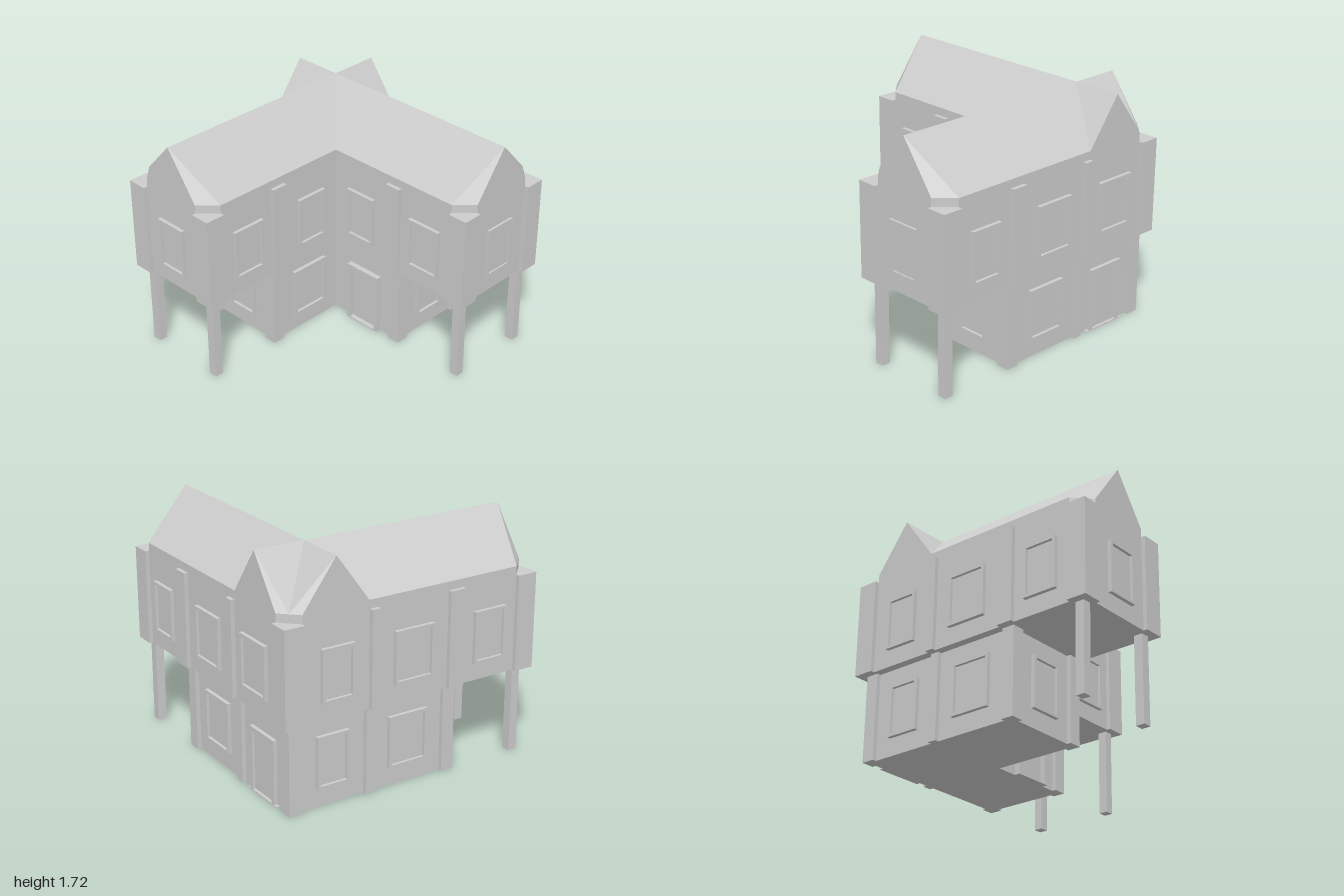
import * as THREE from 'three';

const plaster = new THREE.MeshStandardMaterial({ color: 0xcccccc });
plaster.name = 'plaster grey';

const EAVE = 1.38, RIDGE = 1.72, FLOOR = 0.63, POST_TOP = 1.32;

export function createModel() {
  const house = new THREE.Group();
  house.name = 'house';

  const add = (name, geometry, parent = house) => {
    const mesh = new THREE.Mesh(geometry, plaster);
    mesh.name = name;
    parent.add(mesh);
    return mesh;
  };
  const box = (name, x0, x1, y0, y1, z0, z1) => {
    const mesh = add(name, new THREE.BoxGeometry(x1 - x0, y1 - y0, z1 - z0));
    mesh.position.set((x0 + x1) / 2, (y0 + y1) / 2, (z0 + z1) / 2);
    return mesh;
  };
  // Upright block from a plan outline of [x, z] points
  const storey = (name, plan, y0, y1) => {
    const shape = new THREE.Shape(plan.map(([x, z]) => new THREE.Vector2(x, -z)));
    const g = new THREE.ExtrudeGeometry(shape, { depth: y1 - y0, bevelEnabled: false });
    g.rotateX(-Math.PI / 2);
    g.translate(0, y0, 0);
    add(name, g);
  };

  // L-shaped storeys; the upper one has cut corners
  storey('upperWalls', [
    [-0.97, -0.35], [-0.85, -0.23], [0.23, -0.23], [0.23, 0.85], [0.35, 0.97], [0.85, 0.97],
    [0.97, 0.85], [0.97, -0.85], [0.85, -0.97], [-0.85, -0.97], [-0.97, -0.85],
  ], FLOOR, EAVE);
  storey('lowerWalls', [
    [-0.345, -0.29], [0.29, -0.29], [0.29, 0.345], [0.91, 0.345], [0.91, -0.91], [-0.345, -0.91],
  ], 0, FLOOR);

  // Roof: one half, then its mirror across the diagonal of the L
  const C = [0.6, RIDGE, -0.6], W = [-0.97, RIDGE, -0.6], N = [0.6, RIDGE, -0.97];
  const e = (x, z) => [x, EAVE, z];
  const a1 = e(-0.97, -0.85), a2 = e(-0.85, -0.97), a3 = e(-0.97, -0.35), a4 = e(-0.85, -0.23);
  const v = e(0.35, -0.97), k = e(0.91, -0.91), n = e(0.85, -0.97), inner = e(0.23, -0.23);
  const half = [
    [W, C, v], [W, v, a2], [W, C, inner], [W, inner, a4], // long slopes
    [W, a1, a2], [W, a3, a4], [W, a1, a3],                // end hips and gable
    [C, N, v], [C, N, k], [N, k, n], [N, v, n],           // corner gable
  ];
  const mirrored = half.map(t => t.map(([x, y, z]) => [-z, y, -x]));
  const points = [];
  for (const t of [...half, ...mirrored]) {
    const [p, q, r] = t.map(c => new THREE.Vector3(...c));
    const normal = q.clone().sub(p).cross(r.clone().sub(p)).normalize();
    const out = p.clone().add(q).add(r).divideScalar(3).sub(new THREE.Vector3(...C)).setY(0);
    const facing = Math.abs(normal.y) > 1e-4 ? normal.y : normal.dot(out);
    for (const c of facing > 0 ? [p, q, r] : [p, r, q]) points.push(c.x, c.y, c.z);
  }
  const roof = new THREE.BufferGeometry();
  roof.setAttribute('position', new THREE.Float32BufferAttribute(points, 3));
  roof.computeVertexNormals();
  add('roof', roof);

  // Upper corner posts
  for (const [x, z] of [[-1, -1], [-1, -0.35], [0.85, -1], [0.2, 0.85], [0.85, 0.85]])
    box('upperCornerPost', x, x + 0.15, FLOOR, POST_TOP, z, z + 0.15);
  // Lower corner posts
  for (const [x, z] of [[-0.375, -0.94], [-0.375, -0.355], [0.845, -0.94], [0.26, 0.28], [0.845, 0.28]])
    box('lowerCornerPost', x, x + 0.095, 0, FLOOR, z, z + 0.095);
  // Free-standing pillars
  for (const [x, z] of [[-0.94, -0.94], [-0.94, -0.325], [0.26, 0.875], [0.875, 0.875]])
    box('pillar', x, x + 0.065, 0, FLOOR, z, z + 0.065);

  // Flat pilasters
  box('pilaster', -0.4, -0.28, FLOOR, POST_TOP, -0.24, -0.2);
  box('pilaster', -0.4, -0.28, FLOOR, POST_TOP, -1, -0.96);
  box('pilaster', 0.28, 0.345, FLOOR, POST_TOP, -1, -0.96);
  box('pilaster', 0.2, 0.24, FLOOR, POST_TOP, 0.28, 0.4);
  box('pilaster', 0.96, 1, FLOOR, POST_TOP, 0.28, 0.4);
  box('pilaster', 0.96, 1, FLOOR, POST_TOP, -0.345, -0.28);
  box('pilaster', 0.28, 0.345, 0, FLOOR, -0.94, -0.9);
  box('pilaster', 0.9, 0.94, 0, FLOOR, -0.345, -0.28);

  // Framed panel on a wall: u is the centre along the wall, wall its plane
  const turns = { front: 0, right: Math.PI / 2, back: Math.PI, left: -Math.PI / 2 };
  const framed = (name, side, wall, u, w, y0, y1, depth = 0.028, rim = 0.022) => {
    const rect = (S, a, b, c, d) => {
      const s = new S();
      s.moveTo(a, b); s.lineTo(c, b); s.lineTo(c, d); s.lineTo(a, d); s.closePath();
      return s;
    };
    const g = new THREE.Group();
    g.name = name;
    const shape = rect(THREE.Shape, -w / 2, y0, w / 2, y1);
    const sill = name === 'door' ? 0.008 : rim;
    shape.holes.push(rect(THREE.Path, -w / 2 + rim, y0 + sill, w / 2 - rim, y1 - rim));
    add(name + 'Frame', new THREE.ExtrudeGeometry(shape, { depth, bevelEnabled: false }), g);
    const pane = add(name + 'Panel', new THREE.BoxGeometry(w - 2 * rim, y1 - y0 - rim - sill, 0.008), g);
    pane.position.set(0, (y0 + sill + y1 - rim) / 2, 0.003);
    g.rotation.y = turns[side];
    if (side === 'front' || side === 'back') g.position.set(u, 0, wall);
    else g.position.set(wall, 0, u);
    house.add(g);
  };

  // Upper windows: side, wall plane, centre, width
  for (const [side, wall, u, w] of [
    ['front', -0.23, -0.625, 0.26], ['front', -0.23, -0.03, 0.25], ['front', 0.97, 0.595, 0.25],
    ['back', -0.97, -0.625, 0.26], ['back', -0.97, 0, 0.31], ['back', -0.97, 0.595, 0.25],
    ['right', 0.97, 0.625, 0.25], ['right', 0.97, 0, 0.31], ['right', 0.97, -0.595, 0.31],
    ['left', -0.97, -0.6, 0.25], ['left', 0.23, 0.03, 0.25], ['left', 0.23, 0.625, 0.27],
  ]) framed('upperWindow', side, wall, u, w, 0.755, 1.13, wall === 0.97 && side === 'front' ? 0.018 : 0.028);

  // Lower windows
  for (const [side, wall, u, w] of [
    ['front', -0.29, 0, 0.31], ['front', 0.345, 0.595, 0.25],
    ['back', -0.91, 0, 0.31], ['back', -0.91, 0.595, 0.25],
    ['right', 0.91, 0, 0.31], ['left', -0.345, -0.6, 0.25],
  ]) framed('lowerWindow', side, wall, u, w, 0.13, 0.505);

  // Doors and threshold
  framed('door', 'right', 0.91, -0.597, 0.3, 0, 0.465, 0.028, 0.03);
  framed('door', 'left', 0.29, 0.02, 0.3, 0, 0.465, 0.042, 0.03);
  box('threshold', 0.9, 0.939, 0, 0.005, -0.775, -0.415);

  return house;
}
